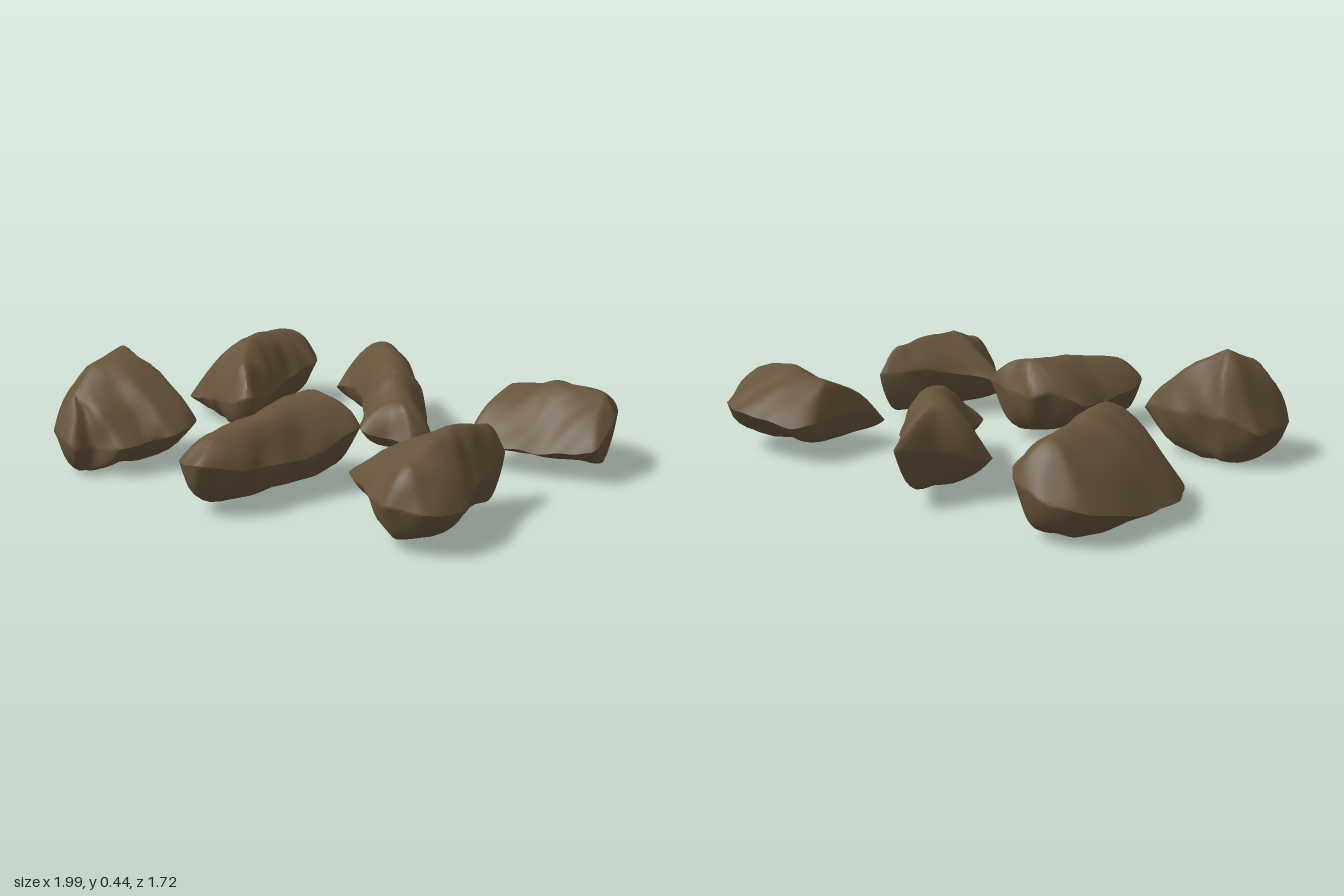
import * as THREE from 'three';
import { toCreasedNormals } from 'three/addons/utils/BufferGeometryUtils.js';

const SEGMENTS = 120;
const stone = new THREE.MeshStandardMaterial({ color: 0x66543a });
stone.name = 'brown stone';

const toVectors = (list) => list.map((p) => new THREE.Vector3(...p));

// Where a point falls along the straight line between the ends of the crest, 0 to 1
function alongCrest(p, crest) {
  const a = crest[0], b = crest[crest.length - 1];
  const dx = b.x - a.x, dz = b.z - a.z;
  return THREE.MathUtils.clamp(((p.x - a.x) * dx + (p.z - a.z) * dz) / (dx * dx + dz * dz), 0, 1);
}

// Point of the bent crest above that position
function crestPoint(p, crest) {
  const t = alongCrest(p, crest);
  const stations = crest.map((c) => alongCrest(c, crest));
  let i = 0;
  while (i < crest.length - 2 && t > stations[i + 1]) i++;
  return crest[i].clone().lerp(crest[i + 1], (t - stations[i]) / (stations[i + 1] - stations[i]));
}

// Lumps and shallow crags, as a function of position so that seams stay closed
function roughen(v, seed) {
  const { x, y, z } = v;
  const crag = Math.abs(Math.sin(9 * x + 7 * z - 11 * y + seed)) - 0.6;
  v.x += 0.006 * Math.sin(17 * y + 13 * z + seed) + 0.003 * Math.sin(41 * z + 23 * y);
  v.z += 0.006 * Math.sin(15 * x + 19 * y + seed * 2) + 0.003 * Math.sin(37 * x - 29 * y);
  v.y += 0.009 * crag + 0.005 * Math.sin(21 * x + seed) * Math.sin(18 * z - seed)
    + 0.003 * Math.sin(47 * x + 31 * z);
  v.y = Math.max(v.y, 0);
}

// A rock: rings run from a keel, out to the widest outline, and in again to the crest.
// A fullness of 1 gives straight flanks, more gives a flatter top.
function makeRock({ name, outline, crest, base, fullness, seed }) {
  const curve = new THREE.CatmullRomCurve3(toVectors(outline), true, 'catmullrom', 0.3);
  const edge = curve.getSpacedPoints(SEGMENTS).slice(0, SEGMENTS);
  const crestLine = toVectors(crest);
  const inner = edge.map((p) => crestPoint(p, crestLine));
  const under = [1, 0.85, 0.7, 0.54, 0.4, 0.28, 0.17, 0.08, 0.02];
  const over = [0, 0.03, 0.08, 0.15, 0.24, 0.35, 0.48, 0.62, 0.77, 0.9, 1];
  const rings = [...under.map((k) => [k, false]), ...over.map((k) => [k, true])];
  const positions = [], indices = [];

  rings.forEach(([k, upper]) => {
    edge.forEach((p, i) => {
      const v = p.clone().lerp(inner[i], k);
      const rise = 1 - Math.pow(1 - k, upper ? fullness : 3);
      v.y = THREE.MathUtils.lerp(p.y, upper ? inner[i].y : base, rise);
      roughen(v, seed);
      positions.push(v.x, v.y, v.z);
    });
  });
  for (let r = 0; r < rings.length - 1; r++) {
    for (let i = 0; i < SEGMENTS; i++) {
      const j = (i + 1) % SEGMENTS;
      const a = r * SEGMENTS + i, b = r * SEGMENTS + j;
      indices.push(a, a + SEGMENTS, b, b, a + SEGMENTS, b + SEGMENTS);
    }
  }
  const geometry = new THREE.BufferGeometry();
  geometry.setAttribute('position', new THREE.Float32BufferAttribute(positions, 3));
  geometry.setIndex(indices);
  const mesh = new THREE.Mesh(toCreasedNormals(geometry, 0.8), stone);
  mesh.name = name;
  return mesh;
}

// Outlines run clockwise from above; every point is x, y, z
const longRock = {
  name: 'longRock', base: 0.025, fullness: 1.7, seed: 1,
  outline: [[-0.78, 0.16, -0.86], [-0.66, 0.2, -0.84], [-0.57, 0.2, -0.7], [-0.53, 0.18, -0.45],
    [-0.47, 0.16, -0.22], [-0.45, 0.17, -0.05], [-0.54, 0.16, -0.04], [-0.72, 0.12, -0.13],
    [-0.9, 0.09, -0.22], [-0.99, 0.08, -0.4], [-0.97, 0.09, -0.62], [-0.91, 0.12, -0.8]],
  crest: [[-0.74, 0.32, -0.74], [-0.72, 0.36, -0.5], [-0.66, 0.35, -0.3], [-0.54, 0.3, -0.13]],
};
const slantedRock = {
  name: 'slantedRock', base: 0.055, fullness: 2.2, seed: 2.3,
  outline: [[-0.2, 0.22, -0.86], [-0.08, 0.2, -0.72], [0.06, 0.18, -0.57], [0.17, 0.15, -0.43],
    [0.23, 0.13, -0.31], [0.32, 0.1, -0.19], [0.31, 0.09, -0.09], [0.2, 0.1, -0.08],
    [0.09, 0.13, -0.05], [0.02, 0.15, -0.18], [-0.08, 0.17, -0.32], [-0.21, 0.17, -0.47],
    [-0.33, 0.15, -0.53], [-0.32, 0.17, -0.61], [-0.25, 0.2, -0.71]],
  crest: [[-0.19, 0.33, -0.68], [-0.11, 0.355, -0.56], [0.05, 0.33, -0.35], [0.18, 0.24, -0.18]],
};
const wedgeRock = {
  name: 'wedgeRock', base: 0.065, fullness: 1.4, seed: 4.1,
  outline: [[0.52, 0.15, -0.66], [0.65, 0.18, -0.69], [0.77, 0.18, -0.69], [0.9, 0.2, -0.65],
    [0.97, 0.24, -0.45], [0.99, 0.22, -0.38], [0.98, 0.14, -0.23], [0.75, 0.11, -0.2],
    [0.48, 0.11, -0.19], [0.475, 0.17, -0.35], [0.475, 0.17, -0.58]],
  crest: [[0.54, 0.3, -0.45], [0.75, 0.335, -0.44], [0.93, 0.315, -0.44]],
};
const peakedRock = {
  name: 'peakedRock', base: 0.015, fullness: 1.6, seed: 5.2,
  outline: [[-0.8, 0.2, 0.26], [-0.7, 0.2, 0.28], [-0.5, 0.2, 0.3], [-0.41, 0.18, 0.34],
    [-0.41, 0.16, 0.48], [-0.5, 0.14, 0.54], [-0.53, 0.12, 0.64], [-0.64, 0.12, 0.67],
    [-0.67, 0.13, 0.74], [-0.8, 0.15, 0.7], [-0.93, 0.15, 0.56], [-0.91, 0.15, 0.33]],
  crest: [[-0.74, 0.44, 0.37], [-0.78, 0.4, 0.52], [-0.76, 0.3, 0.64]],
};
const slabRock = {
  name: 'slabRock', base: 0.045, fullness: 2.1, seed: 6.6,
  outline: [[-0.08, 0.22, 0.17], [0, 0.2, 0.13], [0.24, 0.23, 0.19], [0.21, 0.18, 0.38],
    [0.14, 0.16, 0.62], [0.1, 0.17, 0.76], [0, 0.2, 0.86], [-0.1, 0.2, 0.82],
    [-0.16, 0.18, 0.7], [-0.17, 0.16, 0.45], [-0.19, 0.17, 0.25]],
  crest: [[0.06, 0.34, 0.22], [0.05, 0.32, 0.45], [-0.01, 0.28, 0.72]],
};
const pointedRock = {
  name: 'pointedRock', base: 0.045, fullness: 1.6, seed: 8,
  outline: [[0.78, 0.2, 0.11], [0.81, 0.19, 0.25], [0.86, 0.18, 0.45], [0.9, 0.16, 0.62],
    [0.82, 0.17, 0.76], [0.7, 0.17, 0.79], [0.6, 0.16, 0.7], [0.5, 0.14, 0.57],
    [0.38, 0.15, 0.48], [0.5, 0.19, 0.38], [0.62, 0.22, 0.27]],
  crest: [[0.76, 0.33, 0.2], [0.72, 0.34, 0.38], [0.74, 0.34, 0.56], [0.73, 0.3, 0.68]],
};

export function createModel() {
  const group = new THREE.Group();
  group.name = 'rocks';
  [longRock, slantedRock, wedgeRock, peakedRock, slabRock, pointedRock]
    .forEach((rock) => group.add(makeRock(rock)));
  return group;
}
